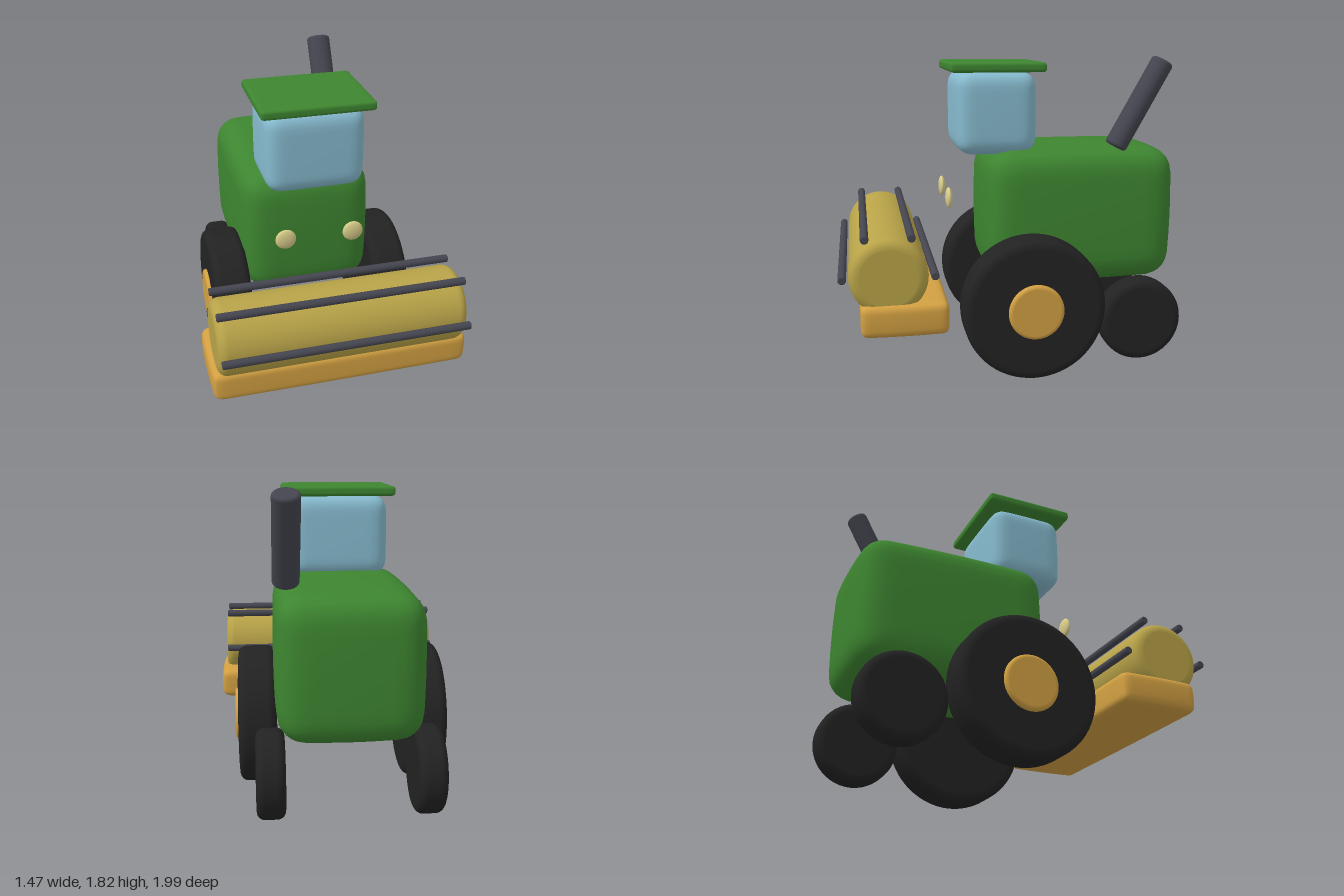
import * as THREE from 'three';
import { mergeVertices } from 'three/addons/utils/BufferGeometryUtils.js';

const paint = (name, color) => {
  const m = new THREE.MeshStandardMaterial({ color });
  m.name = name;
  return m;
};

// Box with rounded edges and slightly domed faces
function softBox(w, h, d, r, bulge) {
  const g = new THREE.BoxGeometry(2, 2, 2, 18, 18, 18);
  g.deleteAttribute('uv');
  g.deleteAttribute('normal');
  const half = new THREE.Vector3(w / 2, h / 2, d / 2);
  const lim = half.clone().subScalar(r);
  const pos = g.attributes.position;
  const p = new THREE.Vector3(), core = new THREE.Vector3();
  for (let i = 0; i < pos.count; i++) {
    p.fromBufferAttribute(pos, i);
    // Gather the grid lines towards the edges
    p.set(...p.toArray().map((v) => Math.sin(v * Math.PI / 2))).multiply(half);
    core.copy(p).clamp(lim.clone().negate(), lim);
    p.sub(core).normalize().multiplyScalar(r).add(core);
    const [a, b, c] = p.clone().divide(half).toArray().map((v) => v * v);
    p.x *= 1 - bulge * (b + c) / 2;
    p.y *= 1 - bulge * (a + c) / 2;
    p.z *= 1 - bulge * (a + b) / 2;
    pos.setXYZ(i, p.x, p.y, p.z);
  }
  const out = mergeVertices(g, 1e-5);
  out.computeVertexNormals();
  return out;
}

// Cylinder along y with rounded rims
function softDisc(r, len, edge, segments = 48) {
  const pts = [[0, -len / 2], [r - edge - 0.002, -len / 2]];
  for (let i = 0; i <= 6; i++) {
    const a = -Math.PI / 2 + i * Math.PI / 12;
    pts.push([r - edge + edge * Math.cos(a), -len / 2 + edge + edge * Math.sin(a)]);
  }
  const mirrored = pts.map(([x, y]) => [x, -y]).reverse();
  return new THREE.LatheGeometry([...pts, ...mirrored].map(([x, y]) => new THREE.Vector2(x, y)), segments);
}

export function createModel() {
  const model = new THREE.Group();
  model.name = 'harvester';

  const green = paint('body green', 0x3d8530);
  const glass = paint('cab glass blue', 0x86bace);
  const orange = paint('header orange', 0xd2a042);
  const straw = paint('reel yellow', 0xb8a348);
  const cream = paint('lamp cream', 0xd9cd8a);
  const steel = paint('dark steel', 0x454550);
  const rubber = paint('tyre black', 0x222222);

  const add = (name, geometry, material, x, y, z) => {
    const mesh = new THREE.Mesh(geometry, material);
    mesh.name = name;
    mesh.position.set(x, y, z);
    model.add(mesh);
    return mesh;
  };
  const addAcross = (...args) => {
    const mesh = add(...args);
    mesh.rotation.z = Math.PI / 2;
    return mesh;
  };

  // Body, cab and roof
  add('body', softBox(0.8, 0.81, 1.14, 0.14, 0.05), green, 0, 0.895, -0.42);
  add('cab', softBox(0.58, 0.48, 0.47, 0.085, 0.025), glass, 0, 1.5, 0.075);
  add('roof', softBox(0.65, 0.056, 0.55, 0.018, 0.005), green, 0, 1.764, 0.073);

  // Leaning exhaust pipe
  const exhaust = add('exhaust', softDisc(0.064, 0.565, 0.018, 32), steel, 0.328, 1.552, -0.745);
  exhaust.rotation.x = -0.51;
  exhaust.scale.x = 1.16;

  // Wheels, hubs and headlights on both sides
  const frontTyre = softDisc(0.412, 0.222, 0.05, 64);
  const rearTyre = softDisc(0.246, 0.157, 0.045);
  const hub = softDisc(0.16, 0.12, 0.022);
  const lamp = new THREE.SphereGeometry(0.061, 24, 16).scale(1, 1, 0.34);
  for (const [side, s] of [['left', 1], ['right', -1]]) {
    addAcross(`${side} front wheel`, frontTyre, rubber, s * 0.494, 0.418, -0.088);
    addAcross(`${side} hub`, hub, orange, s * 0.568, 0.418, -0.088);
    addAcross(`${side} rear wheel`, rearTyre, rubber, s * 0.428, 0.289, -0.746);
    add(`${side} headlight`, lamp, cream, s * 0.2, 1.01, 0.354);
  }

  // Header platform and reel
  add('header platform', softBox(1.47, 0.185, 0.48, 0.04, 0.02), orange, 0, 0.451, 0.65);
  addAcross('reel drum', softDisc(0.214, 1.4, 0.055), straw, 0, 0.684, 0.731);

  // Six bars around the drum
  const bar = softDisc(0.0225, 1.38, 0.006, 16);
  for (let i = 0; i < 6; i++) {
    const a = i * Math.PI / 3;
    addAcross('reel bar', bar, steel, 0, 0.684 + 0.246 * Math.sin(a), 0.731 + 0.246 * Math.cos(a));
  }
  return model;
}
